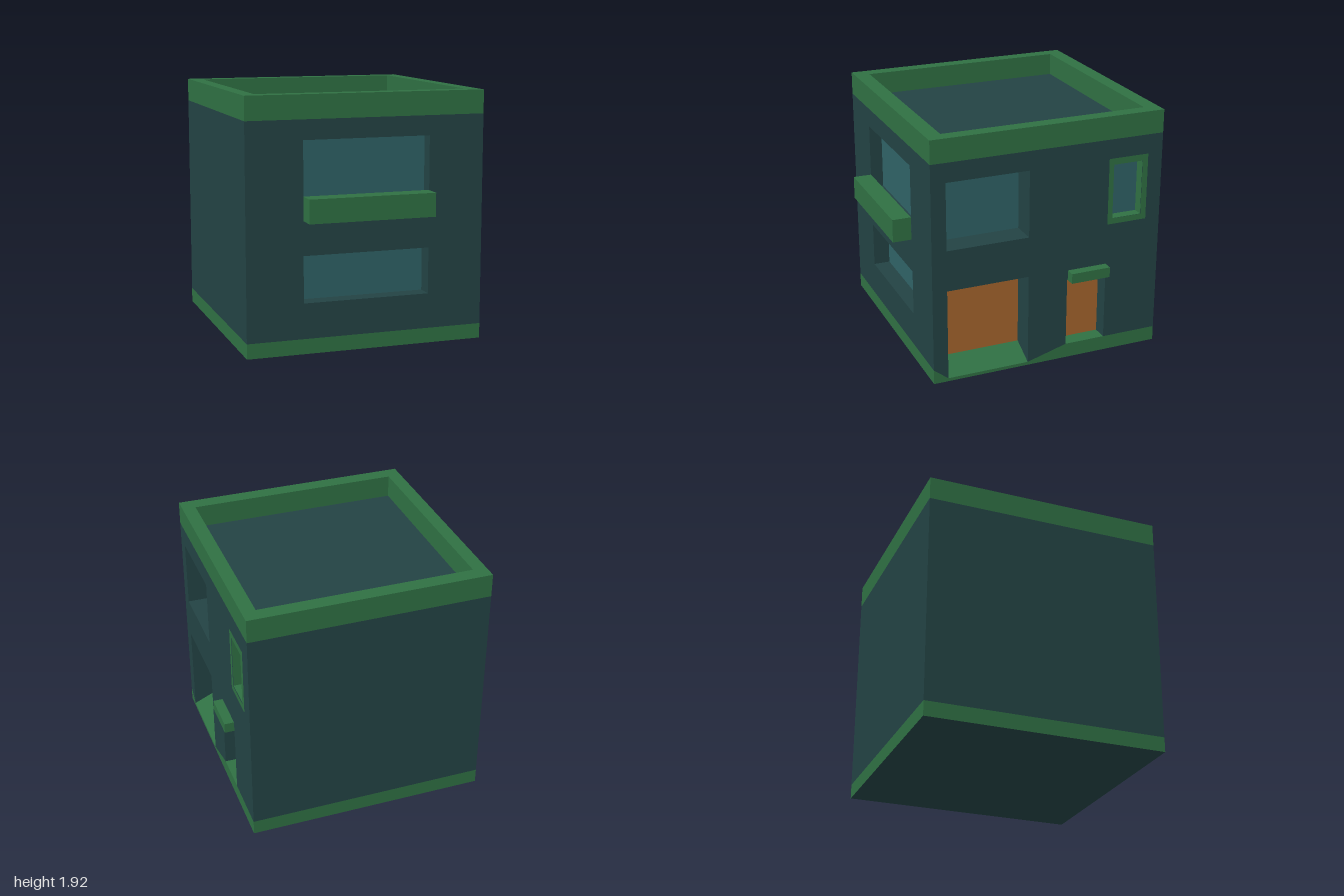
import * as THREE from 'three';

const flat = (name, color) => {
  const m = new THREE.MeshStandardMaterial({ color, side: THREE.DoubleSide });
  m.name = name;
  return m;
};

// House extents
const X0 = -0.965, X1 = 0.89, Z0 = -1, Z1 = 0.855;
const BASE = 0.115, EAVES = 1.74, TOP = 1.92;

export function createModel() {
  const house = new THREE.Group();
  house.name = 'house';
  const wall = flat('dark wall', 0x234344);
  const trim = flat('green trim', 0x2f7043);
  const glass = flat('window glass', 0x2f6266);
  const wood = flat('orange door', 0xa5652d);

  const add = (parent, name, geo, mat) => {
    const mesh = new THREE.Mesh(geo, mat);
    mesh.name = name;
    parent.add(mesh);
    return mesh;
  };
  const rectPts = (u0, v0, u1, v1) => [[u0, v0], [u1, v0], [u1, v1], [u0, v1]];
  const shapeOf = (pts, holes = []) => {
    const s = new THREE.Shape(pts.map(p => new THREE.Vector2(...p)));
    s.holes = holes.map(h => new THREE.Path(h.map(p => new THREE.Vector2(...p))));
    return s;
  };
  const panel = (parent, name, mat, pts, holes) =>
    add(parent, name, new THREE.ShapeGeometry(shapeOf(pts, holes)), mat);
  const quad = (parent, name, mat, ...corners) => {
    const g = new THREE.BufferGeometry();
    g.setAttribute('position', new THREE.Float32BufferAttribute(corners.flat(), 3));
    g.setIndex([0, 1, 2, 0, 2, 3]);
    g.computeVertexNormals();
    return add(parent, name, g, mat);
  };
  const box = (parent, name, mat, x0, y0, z0, x1, y1, z1) =>
    add(parent, name, new THREE.BoxGeometry(x1 - x0, y1 - y0, z1 - z0), mat)
      .position.set((x0 + x1) / 2, (y0 + y1) / 2, (z0 + z1) / 2);

  // An opening set back into a wall; the floor may rise towards the back
  const recess = (parent, name, [u0, v0, u1, v1], depth, backMat, sideMat, floorMat, vBack = v0) => {
    const g = new THREE.Group();
    g.name = name;
    parent.add(g);
    const A = [u0, v0, 0], B = [u1, v0, 0], C = [u1, v1, 0], D = [u0, v1, 0];
    const a = [u0, vBack, -depth], b = [u1, vBack, -depth], c = [u1, v1, -depth], d = [u0, v1, -depth];
    quad(g, name + ' pane', backMat, a, b, c, d);
    quad(g, name + ' floor', floorMat, A, B, b, a);
    quad(g, name + ' head', sideMat, d, c, C, D);
    quad(g, name + ' left reveal', sideMat, A, a, d, D);
    quad(g, name + ' right reveal', sideMat, b, B, C, c);
  };
  // Each facade is drawn in its own plane: u across, y up, outwards +z
  const facade = (name, x, z, turn) => {
    const g = new THREE.Group();
    g.name = name;
    g.position.set(x, 0, z);
    g.rotation.y = turn;
    house.add(g);
    return g;
  };

  // Front with two wide windows
  const front = facade('front facade', 0, Z1, 0);
  const upper = [-0.53, 1.07, 0.455, 1.59], lower = [-0.53, 0.385, 0.455, 0.74];
  panel(front, 'front wall', wall, rectPts(X0, BASE, X1, EAVES), [rectPts(...upper), rectPts(...lower)]);
  panel(front, 'front plinth', trim, rectPts(X0, 0, X1, BASE));
  recess(front, 'upper front window', upper, 0.1, glass, wall, wall);
  recess(front, 'lower front window', lower, 0.13, glass, wall, wall);
  box(front, 'balcony', trim, -0.53, 1.0, 0, 0.45, 1.18, 0.145);

  // Left side with garage, door and two windows (u = -z)
  const side = facade('entrance facade', X1, 0, Math.PI / 2);
  const big = [-0.74, 1.065, -0.09, 1.59], small = [0.595, 1.11, 0.835, 1.54];
  panel(side, 'entrance wall', wall, [
    [-Z1, BASE], [-0.74, 0.025], [-0.74, 0.745], [-0.09, 0.745], [-0.09, 0.025], [0.23, BASE],
    [0.23, 0.66], [0.555, 0.66], [0.555, BASE], [1, BASE], [1, EAVES], [-Z1, EAVES],
  ], [rectPts(...big), rectPts(...small)]);
  panel(side, 'entrance plinth', trim, [
    [-Z1, 0], [1, 0], [1, BASE], [0.23, BASE], [-0.09, 0.025], [-0.74, 0.025], [-Z1, BASE],
  ]);
  recess(side, 'side window', big, 0.2, glass, wall, wall);
  recess(side, 'small window', small, 0.08, glass, trim, trim);
  panel(side, 'small window frame', trim, rectPts(0.555, 1.065, 0.88, 1.59), [rectPts(...small)])
    .position.z = 0.004;
  recess(side, 'garage', [-0.74, 0.025, -0.09, 0.745], 0.195, wood, wall, trim, BASE);
  panel(side, 'garage lintel', wall, rectPts(-0.74, 0.665, -0.09, 0.745)).position.z = -0.191;
  recess(side, 'front door', [0.23, BASE, 0.555, 0.66], 0.12, wood, wall, trim);
  box(side, 'door canopy', trim, 0.235, 0.66, 0, 0.553, 0.74, 0.075);

  // Plain back and far side
  const plain = [
    ['back', facade('back facade', 0, Z0, Math.PI), -X1, -X0],
    ['far side', facade('far side facade', X0, 0, -Math.PI / 2), Z0, Z1],
  ];
  for (const [name, g, u0, u1] of plain) {
    panel(g, name + ' wall', wall, rectPts(u0, BASE, u1, EAVES));
    panel(g, name + ' plinth', trim, rectPts(u0, 0, u1, BASE));
  }

  // Underside, sunken roof and parapet ring
  quad(house, 'underside', wall, [X0, 0, Z0], [X1, 0, Z0], [X1, 0, Z1], [X0, 0, Z1]);
  quad(house, 'roof', wall, [-0.87, EAVES + 0.004, 0.745], [0.795, EAVES + 0.004, 0.745],
    [0.795, EAVES + 0.004, -0.895], [-0.87, EAVES + 0.004, -0.895]);
  const ring = shapeOf(rectPts(X0, -Z1, X1, -Z0), [rectPts(-0.86, -0.735, 0.785, 0.885)]);
  const parapet = add(house, 'parapet',
    new THREE.ExtrudeGeometry(ring, { depth: TOP - EAVES, bevelEnabled: false }), trim);
  parapet.rotation.x = -Math.PI / 2;
  parapet.position.y = EAVES;

  return house;
}
